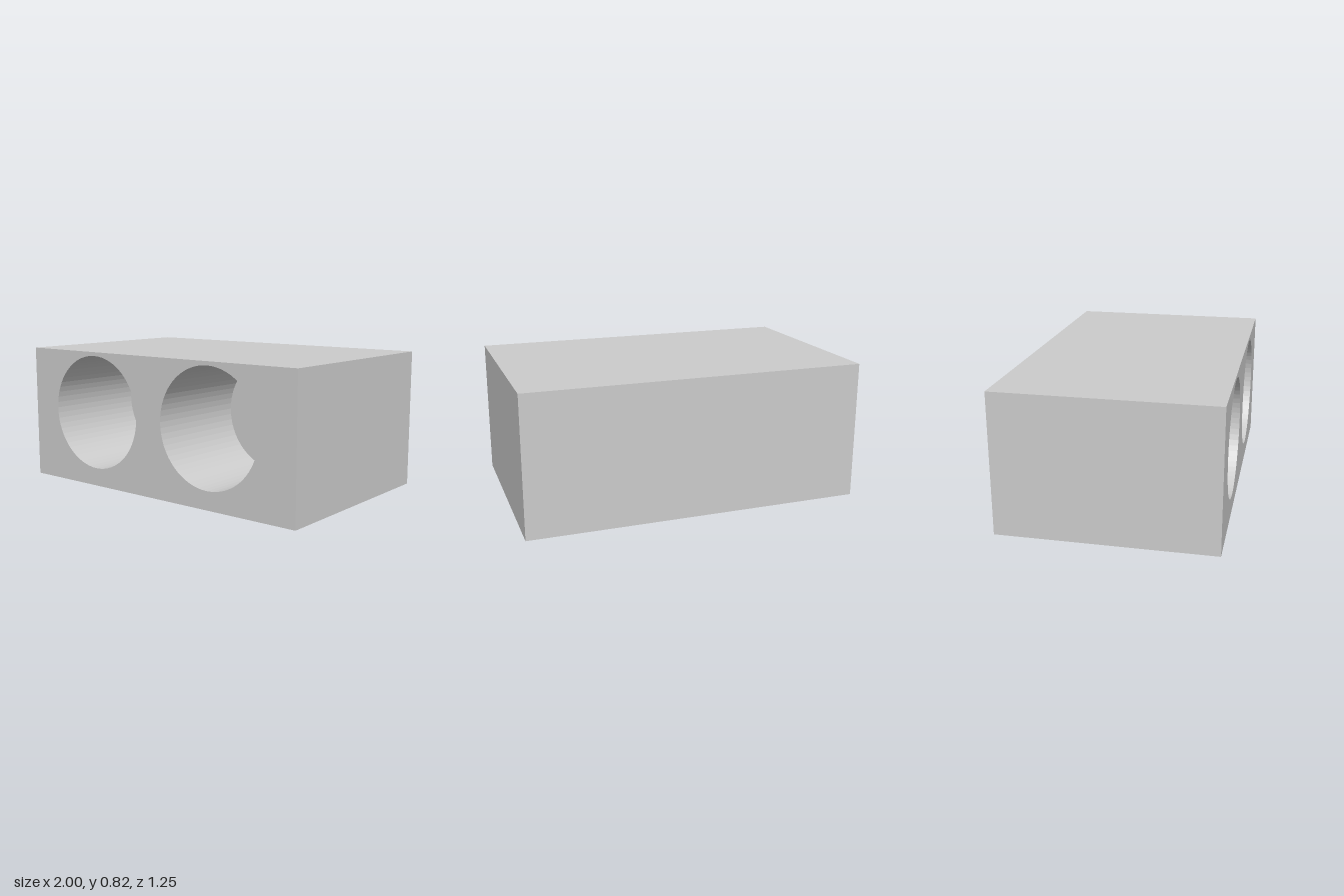
import * as THREE from 'three';

const W = 2, H = 0.82, D = 1.245;            // block size
const R = 0.344, DEPTH = 0.647, SIDES = 64;  // blind round holes
const HOLE_Y = 0.453;
const HOLES = [['rightHole', -0.455], ['leftHole', 0.422]];

export function createModel() {
  const group = new THREE.Group();
  group.name = 'blockWithTwoHoles';
  const material = new THREE.MeshStandardMaterial({ color: 0xcccccc, flatShading: true });

  const add = (name, geometry, x, y, z) => {
    const mesh = new THREE.Mesh(geometry, material);
    mesh.name = name;
    mesh.position.set(x, y, z);
    group.add(mesh);
  };

  // Block body: five sides of a box, leaving the front open
  const body = new THREE.BoxGeometry(W, H, D);
  const front = body.groups[4];
  body.setIndex(Array.from(body.index.array).filter(
    (_, i) => i < front.start || i >= front.start + front.count));
  body.clearGroups();
  add('body', body, 0, H / 2, 0);

  // Front face pierced by the two holes
  const face = new THREE.Shape([
    new THREE.Vector2(-W / 2, 0), new THREE.Vector2(W / 2, 0),
    new THREE.Vector2(W / 2, H), new THREE.Vector2(-W / 2, H),
  ]);
  for (const [, x] of HOLES) {
    face.holes.push(new THREE.Path().absarc(x, HOLE_Y, R, 0, Math.PI * 2, true));
  }
  add('frontFace', new THREE.ShapeGeometry(face, SIDES / 2), 0, 0, D / 2);

  // Hole linings: inward-facing wall and flat floor
  const profile = [[R, 0], [R, -DEPTH], [0, -DEPTH]].map(p => new THREE.Vector2(...p));
  for (const [name, x] of HOLES) {
    const lining = new THREE.LatheGeometry(profile, SIDES).rotateX(Math.PI / 2);
    add(name, lining, x, HOLE_Y, D / 2);
  }
  return group;
}
